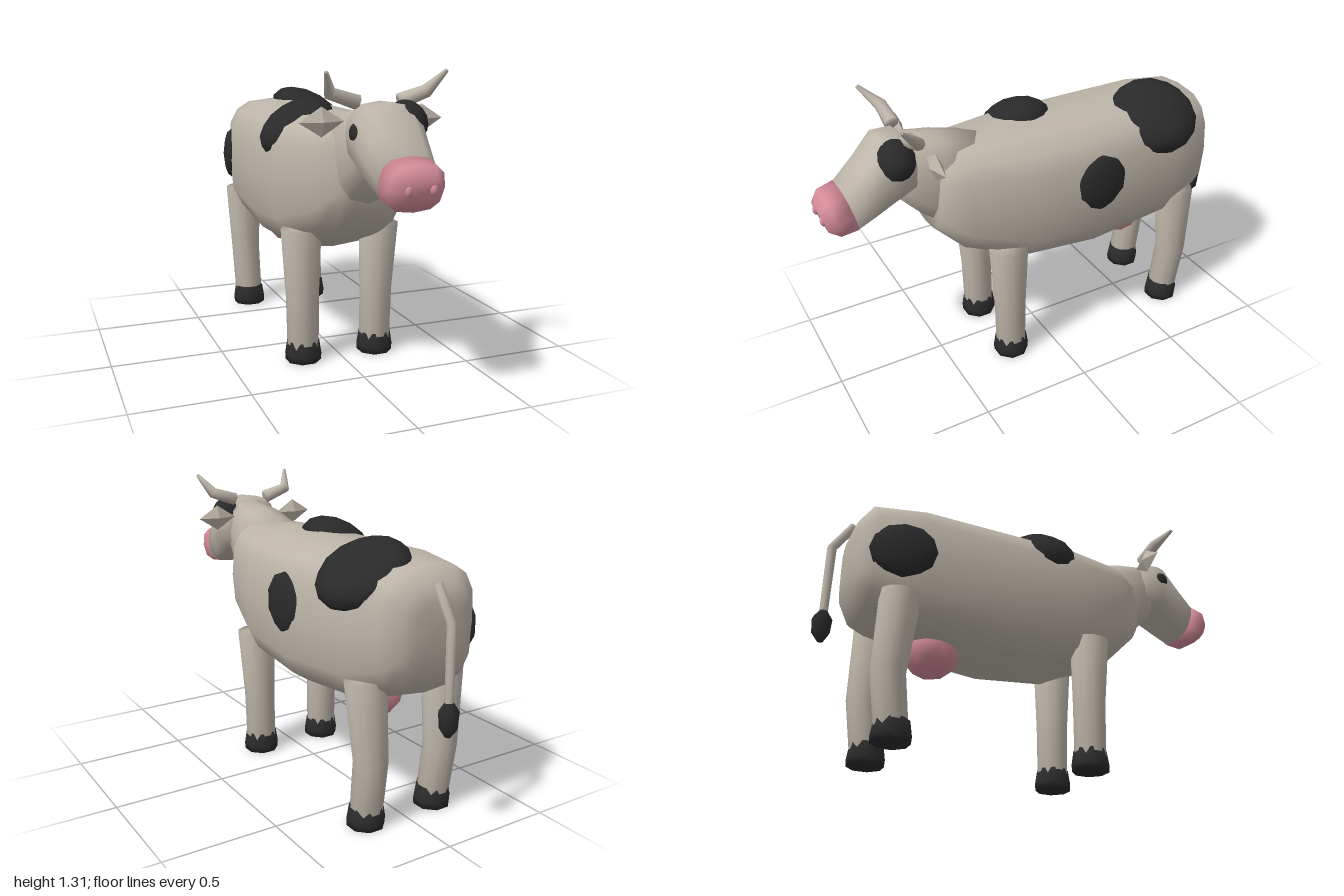
import * as THREE from 'three';

const mat = (name, color, extra = {}) => {
  const m = new THREE.MeshStandardMaterial({ color, ...extra });
  m.name = name;
  return m;
};

// Skin over closed rings of points, with both ends capped
function skin(rings) {
  const n = rings[0].length, pos = [], idx = [];
  rings.forEach(r => r.forEach(p => pos.push(p.x, p.y, p.z)));
  for (let r = 0; r < rings.length - 1; r++) {
    for (let i = 0; i < n; i++) {
      const a = r * n + i, b = r * n + (i + 1) % n;
      idx.push(a, b, a + n, b, b + n, a + n);
    }
  }
  const last = (rings.length - 1) * n, c = rings.length * n;
  for (const ring of [rings[0], rings[rings.length - 1]]) {
    const m = ring.reduce((s, p) => s.add(p), new THREE.Vector3()).divideScalar(n);
    pos.push(m.x, m.y, m.z);
  }
  for (let i = 0; i < n; i++) {
    const j = (i + 1) % n;
    idx.push(c, j, i, c + 1, last + i, last + j);
  }
  const g = new THREE.BufferGeometry();
  g.setAttribute('position', new THREE.Float32BufferAttribute(pos, 3));
  g.setIndex(idx);
  g.computeVertexNormals();
  return g;
}

// Sections along z: [top z, top y, bottom z, bottom y, half width]
const hull = (sections, sides, power) => skin(sections.map(([tz, ty, bz, by, w]) =>
  Array.from({ length: sides }, (_, i) => {
    const a = (i / sides) * Math.PI * 2;
    const round = v => Math.sign(v) * Math.pow(Math.abs(v) < 1e-6 ? 0 : Math.abs(v), power);
    const k = (round(Math.sin(a)) + 1) / 2;
    return new THREE.Vector3(w * round(Math.cos(a)), by + (ty - by) * k, bz + (tz - bz) * k);
  })));

// Tapered limb through points [x, y, z, radius]
function limb(points, sides, ref = new THREE.Vector3(0, 0, 1)) {
  const p = points.map(q => new THREE.Vector3(q[0], q[1], q[2]));
  return skin(p.map((c, k) => {
    const t = p[Math.min(k + 1, p.length - 1)].clone().sub(p[Math.max(k - 1, 0)]).normalize();
    const u = ref.clone().cross(t).normalize(), v = t.clone().cross(u);
    return Array.from({ length: sides }, (_, i) => {
      const a = ((i + 0.5) / sides) * Math.PI * 2, r = points[k][3];
      return c.clone().addScaledVector(u, r * Math.cos(a)).addScaledVector(v, r * Math.sin(a));
    });
  }));
}

export function createModel() {
  const cow = new THREE.Group();
  cow.name = 'cow';
  const hide = mat('hide', 0xbdb5a9);
  const black = mat('black', 0x2a2a2a);
  const pink = mat('pink', 0xd48c9a);

  const add = (name, geometry, material) => {
    const m = new THREE.Mesh(geometry, material);
    m.name = name;
    cow.add(m);
    return m;
  };
  const blob = (name, material, at, size, rz = 0, ry = 0, detail = 2) => {
    const m = add(name, new THREE.IcosahedronGeometry(1, detail), material);
    m.position.set(...at);
    m.scale.set(...size);
    m.rotation.set(0, ry, rz);
    return m;
  };

  // Body, neck and head
  add('body', hull([
    [-0.88, 0.97, -0.88, 0.78, 0.1],
    [-0.865, 1.02, -0.865, 0.67, 0.17],
    [-0.81, 1.095, -0.81, 0.585, 0.235],
    [-0.6, 1.115, -0.6, 0.5, 0.285],
    [-0.2, 1.11, -0.2, 0.46, 0.295],
    [0.13, 1.11, 0.13, 0.49, 0.285],
    [0.4, 1.1, 0.4, 0.6, 0.215],
    [0.5, 1.06, 0.53, 0.73, 0.15],
  ], 16, 0.68), hide);
  add('neck', hull([
    [0.25, 1.1, 0.4, 0.66, 0.15],
    [0.45, 1.15, 0.57, 0.8, 0.14],
    [0.62, 1.18, 0.68, 0.92, 0.11],
  ], 12, 0.8), hide);
  add('head', hull([
    [0.585, 1.15, 0.57, 1.0, 0.1],
    [0.62, 1.19, 0.6, 0.94, 0.14],
    [0.71, 1.19, 0.68, 0.91, 0.15],
    [0.8, 1.095, 0.76, 0.865, 0.135],
    [0.893, 1.01, 0.845, 0.82, 0.118],
  ], 12, 0.72), hide);
  add('muzzle', hull([
    [0.893, 1.012, 0.845, 0.818, 0.12],
    [0.965, 0.99, 0.92, 0.808, 0.115],
    [0.995, 0.945, 0.965, 0.835, 0.085],
  ], 12, 0.72), pink);

  for (const s of [1, -1]) {
    const side = s > 0 ? 'left' : 'right';
    // Face details
    blob(side + 'Nostril', pink, [s * 0.05, 0.9, 0.982], [0.016, 0.022, 0.012]);
    blob(side + 'Eye', black, [s * 0.132, 1.075, 0.69], [0.022, 0.04, 0.035]);
    add(side + 'Horn', limb([
      [s * 0.09, 1.185, 0.61, 0.032],
      [s * 0.205, 1.222, 0.612, 0.027],
      [s * 0.25, 1.305, 0.69, 0.008],
    ], 8), hide);
    const ear = add(side + 'Ear', new THREE.OctahedronGeometry(1), hide);
    ear.geometry = ear.geometry.clone();
    ear.position.set(s * 0.215, 1.108, 0.55);
    ear.scale.set(0.095, 0.06, 0.028);

    // Legs and hooves
    add(side + 'FrontLeg', limb([
      [s * 0.175, 0.02, 0.212, 0.07],
      [s * 0.178, 0.3, 0.213, 0.074],
      [s * 0.185, 0.61, 0.22, 0.09],
    ], 12), hide);
    add(side + 'HindLeg', limb([
      [s * 0.175, 0.02, -0.675, 0.068],
      [s * 0.18, 0.29, -0.71, 0.072],
      [s * 0.195, 0.64, -0.685, 0.088],
    ], 12), hide);
    for (const [name, z] of [['FrontHoof', 0.212], ['HindHoof', -0.678]]) {
      add(side + name, limb([
        [s * 0.175, 0, z, 0.08],
        [s * 0.175, 0.03, z, 0.082],
        [s * 0.175, 0.095, z, 0.072],
      ], 8), black);
    }
  }

  // Udder and tail
  blob('udder', pink, [0, 0.49, -0.475], [0.13, 0.115, 0.127], 0, 0, 1);
  add('tail', limb([
    [0, 1.03, -0.865, 0.02],
    [0, 0.9, -0.95, 0.021],
    [0, 0.56, -0.955, 0.018],
  ], 8, new THREE.Vector3(1, 0, 0)), hide);
  add('tailTuft', limb([
    [0, 0.45, -0.955, 0.012],
    [0, 0.49, -0.957, 0.038],
    [0, 0.55, -0.957, 0.043],
    [0, 0.59, -0.955, 0.018],
  ], 8), black);

  // Coat patches
  blob('leftFlankPatch', black, [0.27, 0.845, -0.2], [0.04, 0.14, 0.137], 0, 0, 1);
  blob('rumpPatch', black, [0.13, 1.03, -0.57], [0.112, 0.2, 0.215], 1.035);
  blob('shoulderPatch', black, [-0.13, 1.03, 0.01], [0.112, 0.185, 0.16], -1.035);
  blob('rightFlankPatch', black, [-0.248, 0.82, -0.7], [0.045, 0.13, 0.145], 0, -0.25, 1);
  blob('facePatch', black, [0.098, 1.115, 0.67], [0.072, 0.088, 0.078], 0.7);

  return cow;
}
